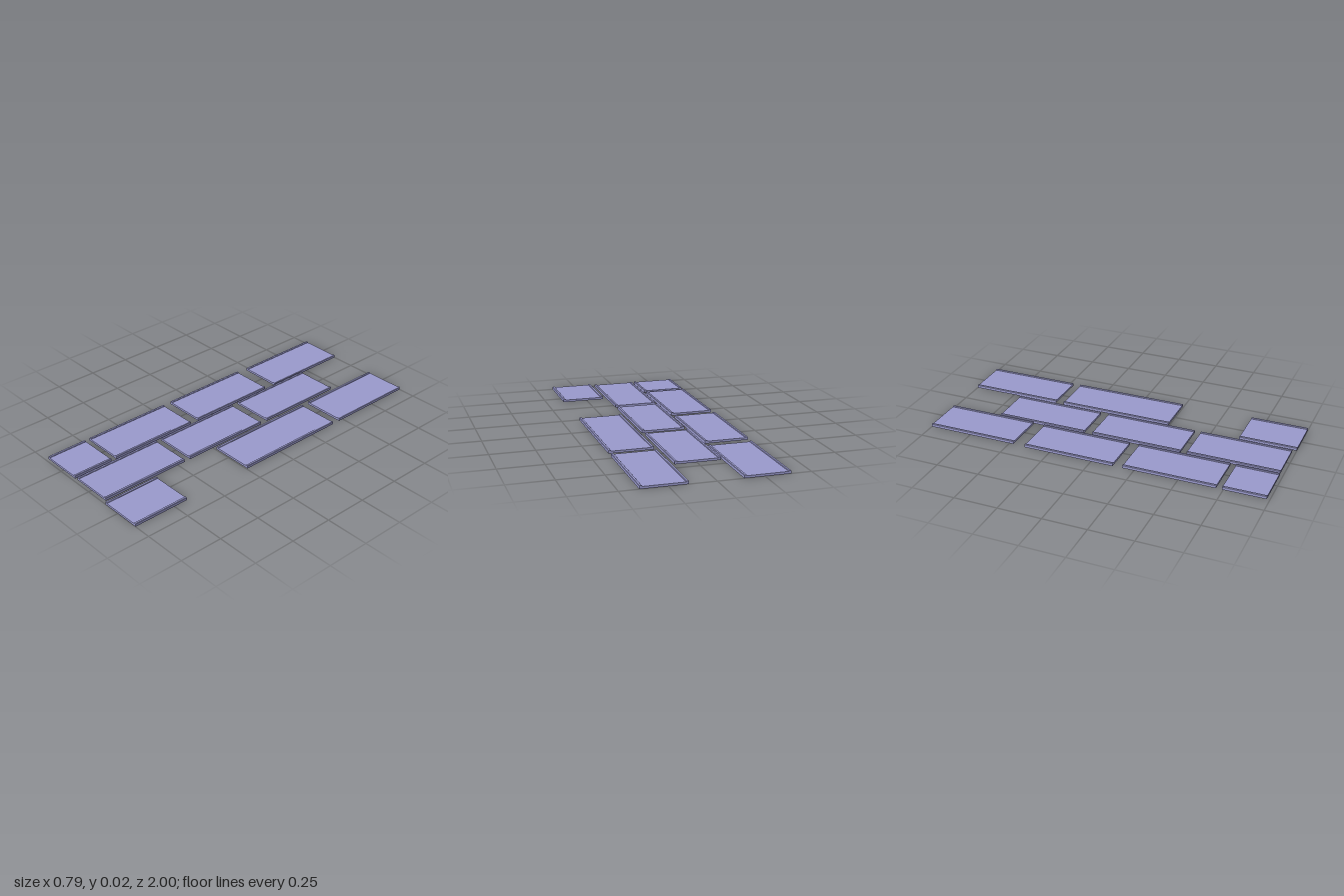
import * as THREE from 'three';

const WIDTH = 0.25, PLATE = 0.0125, RAIL = 0.017, RAIL_W = 0.014, BEVEL = 0.002;

// Cross-section of a slab: flat plate with a chamfered lip along both long sides
function slabProfile() {
  const half = [
    [WIDTH / 2, 0],
    [WIDTH / 2, RAIL - BEVEL],
    [WIDTH / 2 - BEVEL, RAIL],
    [WIDTH / 2 - RAIL_W + BEVEL, RAIL],
    [WIDTH / 2 - RAIL_W, RAIL - BEVEL],
    [WIDTH / 2 - RAIL_W, PLATE],
  ];
  const mirrored = half.map(([x, y]) => [-x, y]).reverse();
  return new THREE.Shape([...half, ...mirrored].map(([x, y]) => new THREE.Vector2(x, y)));
}

// Staggered slabs per column: [centre x, back z, front z]
const columns = {
  rightColumn: [
    [-0.265, -1, -0.476],
    [-0.272, -0.402, 0.127],
    [-0.27, 0.183, 0.71],
    [-0.27, 0.743, 0.983],
  ],
  middleColumn: [
    [-0.006, -0.693, -0.164],
    [-0.003, -0.114, 0.414],
    [-0.003, 0.452, 0.98],
  ],
  leftColumn: [
    [0.271, -1, -0.471],
    [0.271, -0.42, 0.244],
    [0.271, 0.668, 1],
  ],
};

export function createModel() {
  const model = new THREE.Group();
  model.name = 'slabPath';
  const material = new THREE.MeshStandardMaterial({ color: 0x9999cc, flatShading: true });
  const profile = slabProfile();

  for (const [name, slabs] of Object.entries(columns)) {
    const column = new THREE.Group();
    column.name = name;
    slabs.forEach(([x, back, front], i) => {
      const geometry = new THREE.ExtrudeGeometry(profile, { depth: front - back, bevelEnabled: false });
      const slab = new THREE.Mesh(geometry, material);
      slab.name = `slab${i + 1}`;
      slab.position.set(x, 0, back);
      column.add(slab);
    });
    model.add(column);
  }
  return model;
}
